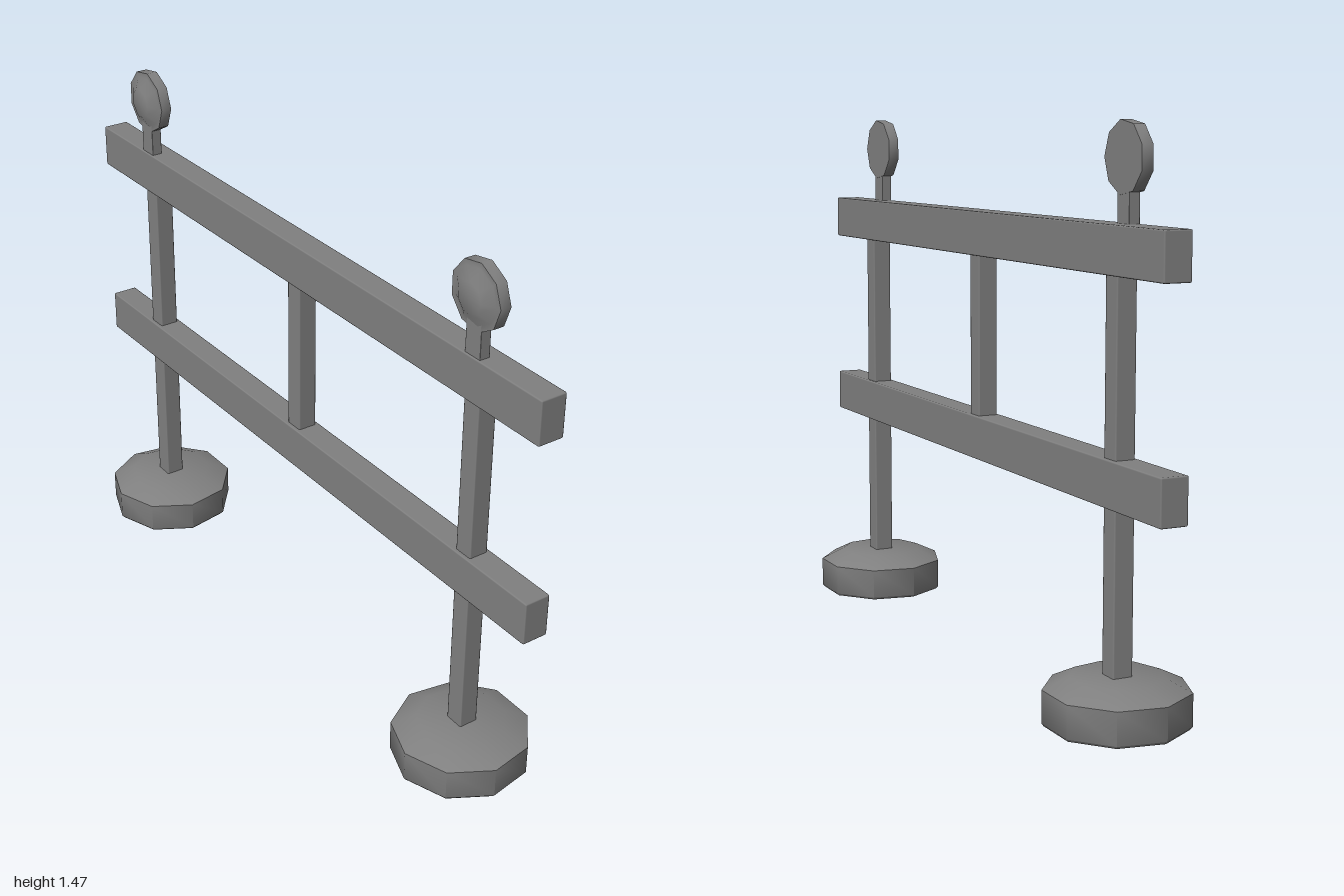
import * as THREE from 'three';
import { toCreasedNormals } from 'three/addons/utils/BufferGeometryUtils.js';
import { RoundedBoxGeometry } from 'three/addons/geometries/RoundedBoxGeometry.js';

const SIDES = 9;

export function createModel() {
  const model = new THREE.Group();
  model.name = 'roadBarrier';
  const material = new THREE.MeshStandardMaterial({ color: 0x808080 });

  function add(parent, name, geometry) {
    const mesh = new THREE.Mesh(geometry, material);
    mesh.name = name;
    parent.add(mesh);
    return mesh;
  }

  // Bar with lightly eased edges, given by its limits on each axis
  function bar(parent, name, [x0, x1], [y0, y1], [z0, z1], ease = 0.004) {
    const geometry = new RoundedBoxGeometry(x1 - x0, y1 - y0, z1 - z0, 1, ease);
    const mesh = add(parent, name, geometry);
    mesh.position.set((x0 + x1) / 2, (y0 + y1) / 2, (z0 + z1) / 2);
  }

  // Nine-sided turned part, smooth around and creased at the rims
  function turned(profile, start) {
    const points = profile.map(([r, y]) => new THREE.Vector2(r, y));
    return toCreasedNormals(new THREE.LatheGeometry(points, SIDES, start), 0.8);
  }

  // Weighted foot with a shallow recess underneath and a sloping top
  const footGeometry = turned([
    [0, 0.004], [0.145, 0.004], [0.145, 0], [0.181, 0], [0.187, 0.007],
    [0.187, 0.092], [0.121, 0.124], [0, 0.124],
  ], -Math.PI / 2);

  // Warning lamp: flat on one face, raised lens on the other
  const lampGeometry = turned([
    [0, 0], [0.09, 0], [0.09, 0.031], [0.074, 0.031], [0.042, 0.05], [0, 0.05],
  ], 0);
  lampGeometry.rotateZ(Math.PI / 2);

  // Two long rails and the short strut between them
  bar(model, 'lowerRail', [-0.032, 0.043], [0.542, 0.662], [-1, 1]);
  bar(model, 'upperRail', [-0.032, 0.043], [1.103, 1.224], [-1, 1]);
  bar(model, 'middleStrut', [-0.022, 0.033], [0.65, 1.115], [-0.028, 0.028]);

  // Foot, post, lamp stalk and lamp at each end
  for (const side of [1, -1]) {
    const stand = new THREE.Group();
    stand.name = side > 0 ? 'frontStand' : 'backStand';
    stand.position.z = side * 0.748;
    model.add(stand);

    add(stand, 'foot', footGeometry).position.x = 0.005;
    bar(stand, 'post', [-0.022, 0.033], [0.1, 1.12], [-0.028, 0.028]);
    bar(stand, 'lampStalk', [-0.027, 0.003], [1.2, 1.34], [-0.028, 0.028], 0.002);
    add(stand, 'lamp', lampGeometry).position.set(0.004, 1.38, 0);
  }

  return model;
}
